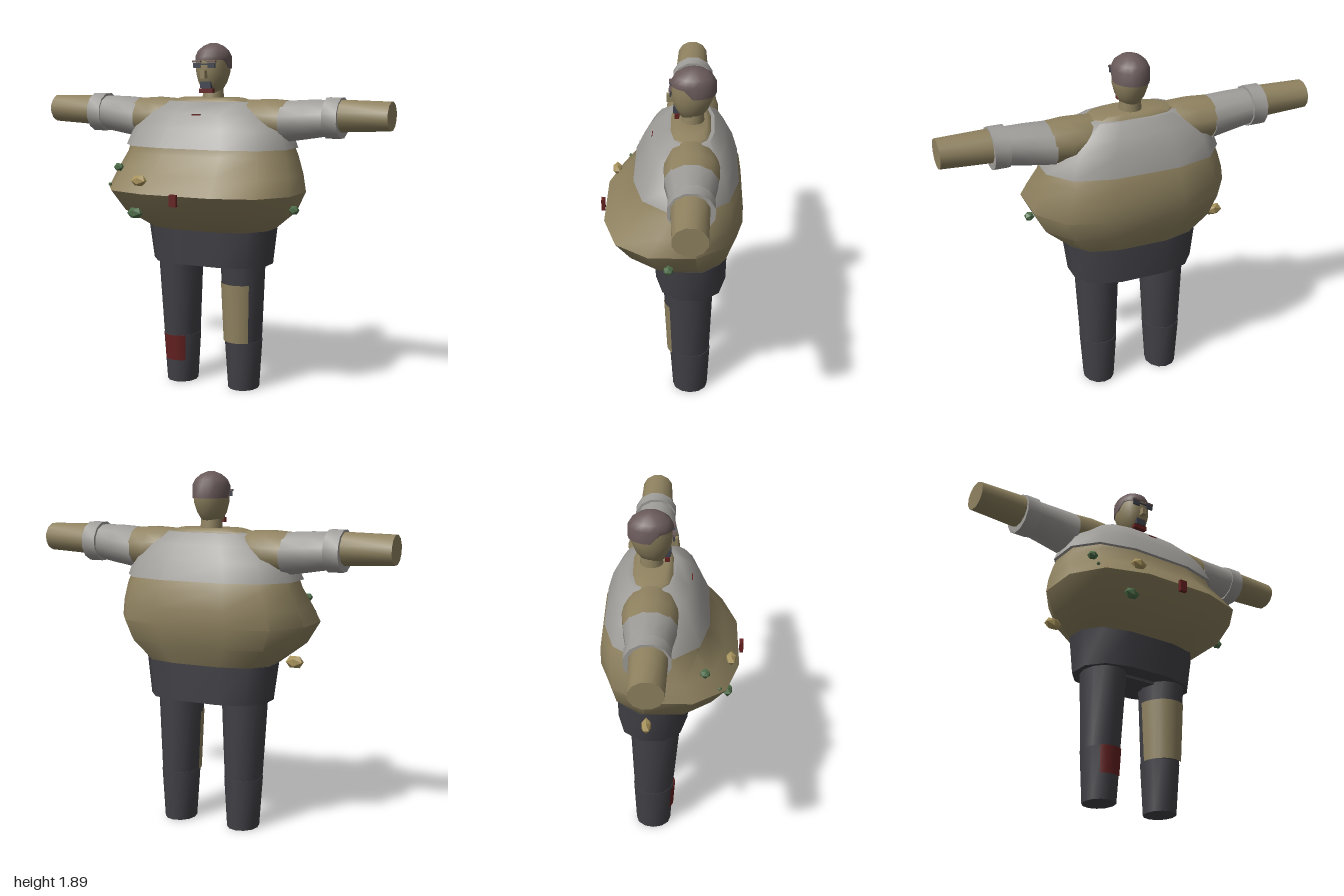
import * as THREE from 'three';
import { toCreasedNormals } from 'three/addons/utils/BufferGeometryUtils.js';

const mat = (name, color, double) => {
  const m = new THREE.MeshStandardMaterial({ color });
  m.name = name;
  if (double) m.side = THREE.DoubleSide;
  return m;
};

// Twelve-sided boxy outline used by the torso, shirt and hips
const PX = [0.37, 0.785, 1, 1, 0.785, 0.37, -0.37, -0.785, -1, -1, -0.785, -0.37];
const PZ = [1, 0.8, 0.33, -0.33, -0.8, -1, -1, -0.8, -0.33, 0.33, 0.8, 1];
const bodyRing = ([y, hw, front, back]) => PX.map((px, i) =>
  [px * hw, y, (front + back) / 2 + PZ[i] * (front - back) / 2]);

// Elliptical outline around the y axis
const roundRing = ([y, hw, front, back], cx = 0, n = 16) => Array.from({ length: n }, (_, i) => {
  const a = (i / n) * Math.PI * 2;
  return [cx + Math.sin(a) * hw, y, (front + back) / 2 + Math.cos(a) * (front - back) / 2];
});

// Elliptical outline around the x axis, for the arm on side s
const armRing = ([x, bottom, top, front, back], s) => Array.from({ length: 12 }, (_, i) => {
  const a = ((i + 0.5) / 12) * Math.PI * 2;
  return [s * x, (top + bottom) / 2 + Math.cos(a) * (top - bottom) / 2,
    (front + back) / 2 + s * Math.sin(a) * (front - back) / 2];
});

// Skin a stack of outlines and cap both ends
function loft(rings) {
  const n = rings[0].length, last = (rings.length - 1) * n;
  const pos = rings.flat(2), index = [];
  for (let r = 0; r < rings.length - 1; r++)
    for (let i = 0; i < n; i++) {
      const a = r * n + i, b = r * n + (i + 1) % n;
      index.push(a, b, b + n, a, b + n, a + n);
    }
  for (let i = 1; i < n - 1; i++) index.push(0, i + 1, i, last, last + i, last + i + 1);
  const g = new THREE.BufferGeometry();
  g.setAttribute('position', new THREE.Float32BufferAttribute(pos, 3));
  g.setIndex(index);
  return toCreasedNormals(g, 0.7);
}

export function createModel() {
  const model = new THREE.Group();
  model.name = 'figure';
  const skin = mat('skin', 0x8f8260), shirt = mat('shirt grey', 0x9f9d99);
  const trousers = mat('trouser charcoal', 0x414046), hair = mat('hair brown', 0x6a5a5a);
  const red = mat('dark red', 0x642020, true), green = mat('green', 0x4d6c48);
  const gold = mat('ochre', 0xa8935c), slate = mat('slate', 0x3f434d);
  const skinPatch = mat('skin patch', 0x8f8260, true);

  const add = (name, geometry, material, parent = model) => {
    const m = new THREE.Mesh(geometry, material);
    m.name = name;
    parent.add(m);
    return m;
  };
  const box = (name, material, size, p, parent) => {
    const m = add(name, new THREE.BoxGeometry(...size), material, parent);
    m.position.set(...p);
    return m;
  };

  // Torso with the overhanging belly
  add('belly', loft([
    [0.89, 0.345, 0.09, -0.295], [1.0, 0.48, 0.26, -0.345], [1.11, 0.535, 0.345, -0.372],
    [1.2, 0.51, 0.268, -0.372], [1.3, 0.472, 0.18, -0.357], [1.36, 0.45, 0.165, -0.33],
  ].map(bodyRing)), skin);
  add('shirt', loft([
    [1.34, 0.475, 0.19, -0.347], [1.44, 0.435, 0.145, -0.318],
    [1.52, 0.35, 0.095, -0.275], [1.58, 0.25, 0.02, -0.22],
  ].map(bodyRing)), shirt);
  add('collar', loft([
    [1.56, 0.24, 0.01, -0.21], [1.585, 0.225, 0.0, -0.2], [1.6, 0.17, -0.02, -0.18],
  ].map(bodyRing)), skin);
  add('hips', loft([
    [0.7, 0.335, 0.08, -0.297], [0.9, 0.36, 0.096, -0.3],
  ].map(bodyRing)), trousers);
  box('crotch', trousers, [0.26, 0.03, 0.16], [0, 0.7, -0.1]);

  // Arms with sleeves and cuffs
  for (const s of [1, -1]) {
    const arm = new THREE.Group();
    arm.name = s > 0 ? 'leftArm' : 'rightArm';
    model.add(arm);
    const part = (name, rows, m) => add(name, loft(rows.map(r => armRing(r, s))), m, arm);
    part('shoulder', [
      [0.18, 1.42, 1.59, 0.0, -0.2], [0.25, 1.39, 1.595, 0.03, -0.24],
      [0.34, 1.375, 1.6, 0.035, -0.25], [0.45, 1.38, 1.592, 0.025, -0.235],
    ], skin);
    part('sleeve', [
      [0.43, 1.37, 1.592, 0.03, -0.24], [0.56, 1.39, 1.6, 0.01, -0.222],
      [0.68, 1.41, 1.6, 0.0, -0.208],
    ], shirt);
    part('cuff', [[0.66, 1.397, 1.614, 0.007, -0.222], [0.74, 1.397, 1.614, 0.007, -0.222]], shirt);
    part('forearm', [[0.7, 1.43, 1.603, -0.008, -0.198], [1, 1.445, 1.597, -0.02, -0.188]], skin);
  }

  // Legs, with the lower trouser leg fitted just outside the upper
  for (const s of [1, -1]) {
    const leg = new THREE.Group();
    leg.name = s > 0 ? 'leftLeg' : 'rightLeg';
    model.add(leg);
    const part = (name, rows) =>
      add(name, loft(rows.map(r => roundRing(r, s * 0.19, 12))), trousers, leg);
    part('upperLeg', [[0.26, 0.1, 0.0, -0.215], [0.74, 0.122, 0.045, -0.23]]);
    part('lowerLeg', [[0, 0.085, -0.015, -0.208], [0.275, 0.103, 0.004, -0.219]]);
  }

  // Bare thigh and red shin patch as thin curved panels
  const panel = (name, m, x, y0, y1, r0, r1, a0, a1, z, depth) => {
    const p = add(name, new THREE.CylinderGeometry(r1, r0, y1 - y0, 8, 1, true, a0, a1 - a0), m);
    p.position.set(x, (y0 + y1) / 2, z);
    p.scale.z = depth;
  };
  panel('thighPatch', skinPatch, 0.19, 0.275, 0.6, 0.106, 0.121, -1.6, 0.7, -0.1, 1.12);
  panel('shinPatch', red, -0.19, 0.13, 0.275, 0.1, 0.109, -0.62, 0.66, -0.11, 1.13);

  // Head
  const head = new THREE.Group();
  head.name = 'head';
  model.add(head);
  const round = rows => loft(rows.map(r => roundRing(r)));
  add('neck', round([[1.57, 0.06, -0.045, -0.17], [1.67, 0.053, -0.06, -0.163]]), skin, head);
  add('face', round([
    [1.625, 0.04, -0.05, -0.14], [1.64, 0.053, -0.035, -0.165], [1.68, 0.075, -0.014, -0.193],
    [1.73, 0.089, -0.002, -0.214], [1.78, 0.092, 0, -0.222], [1.83, 0.088, -0.005, -0.215],
  ]), skin, head);
  // Hair sits higher over the forehead than at the back
  const hairline = roundRing([1.755, 0.095, 0.004, -0.228])
    .map(([x, y, z]) => [x, z > -0.08 ? y + 0.045 : y, z]);
  add('hair', loft([hairline, ...[
    [1.82, 0.095, 0.003, -0.227], [1.85, 0.081, -0.014, -0.209],
    [1.875, 0.053, -0.05, -0.175], [1.89, 0.018, -0.095, -0.13],
  ].map(r => roundRing(r))]), hair, head);
  box('nose', skin, [0.026, 0.042, 0.04], [0, 1.725, 0.005], head);
  for (const s of [1, -1]) {
    box('lens', slate, [0.042, 0.026, 0.009], [s * 0.044, 1.772, 0.004], head);
    box('eyebrow', hair, [0.05, 0.01, 0.014], [s * 0.044, 1.792, 0.005], head);
  }
  box('glassesBridge', slate, [0.05, 0.006, 0.008], [0, 1.778, 0.006], head);
  box('goatee', slate, [0.06, 0.035, 0.04], [0, 1.668, -0.03], head);
  box('bow', red, [0.08, 0.024, 0.025], [0, 1.637, -0.028], head);

  // Small red trims on chest and belly
  box('chestTrim', red, [0.052, 0.014, 0.02], [0, 1.512, 0.09]);
  box('bellyTrim', red, [0.04, 0.062, 0.02], [0, 1.09, 0.364]);

  // Faceted lumps around the belly
  const lumps = [
    [gold, -0.235, 1.175, 0.3, 0.047, 0.032], [gold, -0.487, 0.93, -0.13, 0.052, 0.036],
    [green, -0.27, 1.0, 0.285, 0.046, 0.032], [green, 0.522, 1.028, 0.003, 0.028, 0.026],
    [green, -0.435, 1.225, 0.165, 0.03, 0.024], [green, -0.447, 1.14, 0.24, 0.01, 0.01],
  ];
  for (const [m, x, y, z, w, h] of lumps) {
    const lump = add('lump', new THREE.IcosahedronGeometry(1, 0), m);
    lump.position.set(x, y, z);
    lump.scale.set(w, h, Math.min(w, 0.028));
  }
  return model;
}
